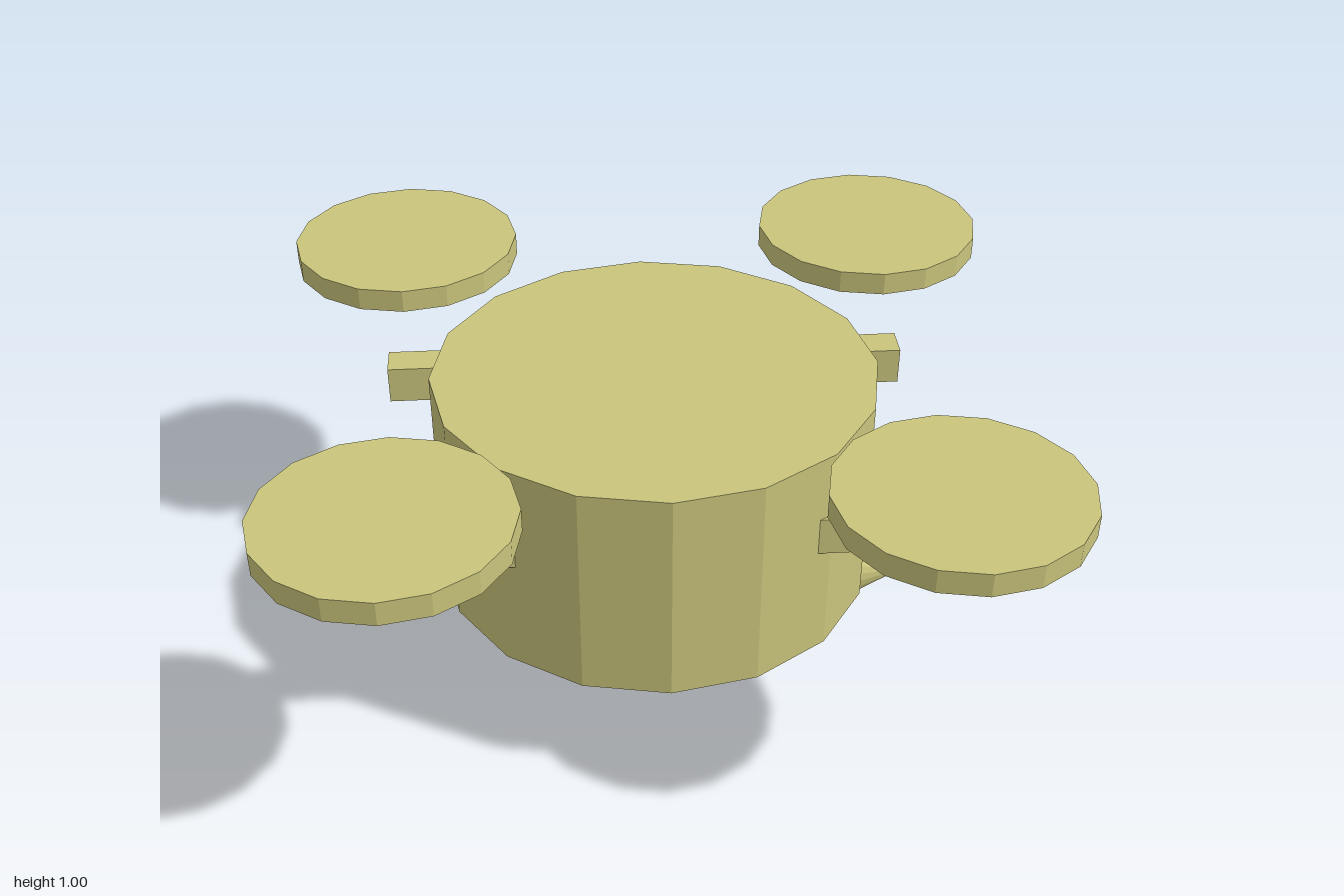
import * as THREE from 'three';

export function createModel() {
  const model = new THREE.Group();
  model.name = 'drone';

  const khaki = new THREE.MeshStandardMaterial({ color: 0xc9c47c, flatShading: true });
  khaki.name = 'khaki';

  function add(name, geometry, x, y, z) {
    const mesh = new THREE.Mesh(geometry, khaki);
    mesh.name = name;
    mesh.position.set(x, y, z);
    model.add(mesh);
    return mesh;
  }

  // Drum-shaped body
  add('body', new THREE.CylinderGeometry(0.6, 0.6, 0.612, 16), 0, 0.632, 0);

  // Four side arms with a rotor disc floating above each corner
  const armGeometry = new THREE.BoxGeometry(0.36, 0.107, 0.097);
  const rotorGeometry = new THREE.CylinderGeometry(0.32, 0.32, 0.064, 16);
  for (const sx of [-1, 1]) {
    for (const sz of [-1, 1]) {
      const corner = (sz > 0 ? 'front' : 'back') + (sx > 0 ? 'Left' : 'Right');
      add(corner + 'Arm', armGeometry, sx * 0.562, 0.699, sz * 0.4);
      add(corner + 'Rotor', rotorGeometry, sx * 0.68, 0.968, sz * 0.68);
    }
  }

  // Flattened cone under the body, pointing to +x
  const cone = new THREE.ConeGeometry(1, 0.445, 16);
  cone.scale(0.217, 1, 0.16);
  cone.rotateZ(-Math.PI / 2);
  add('cone', cone, 0.4975, 0.219, 0);

  return model;
}
